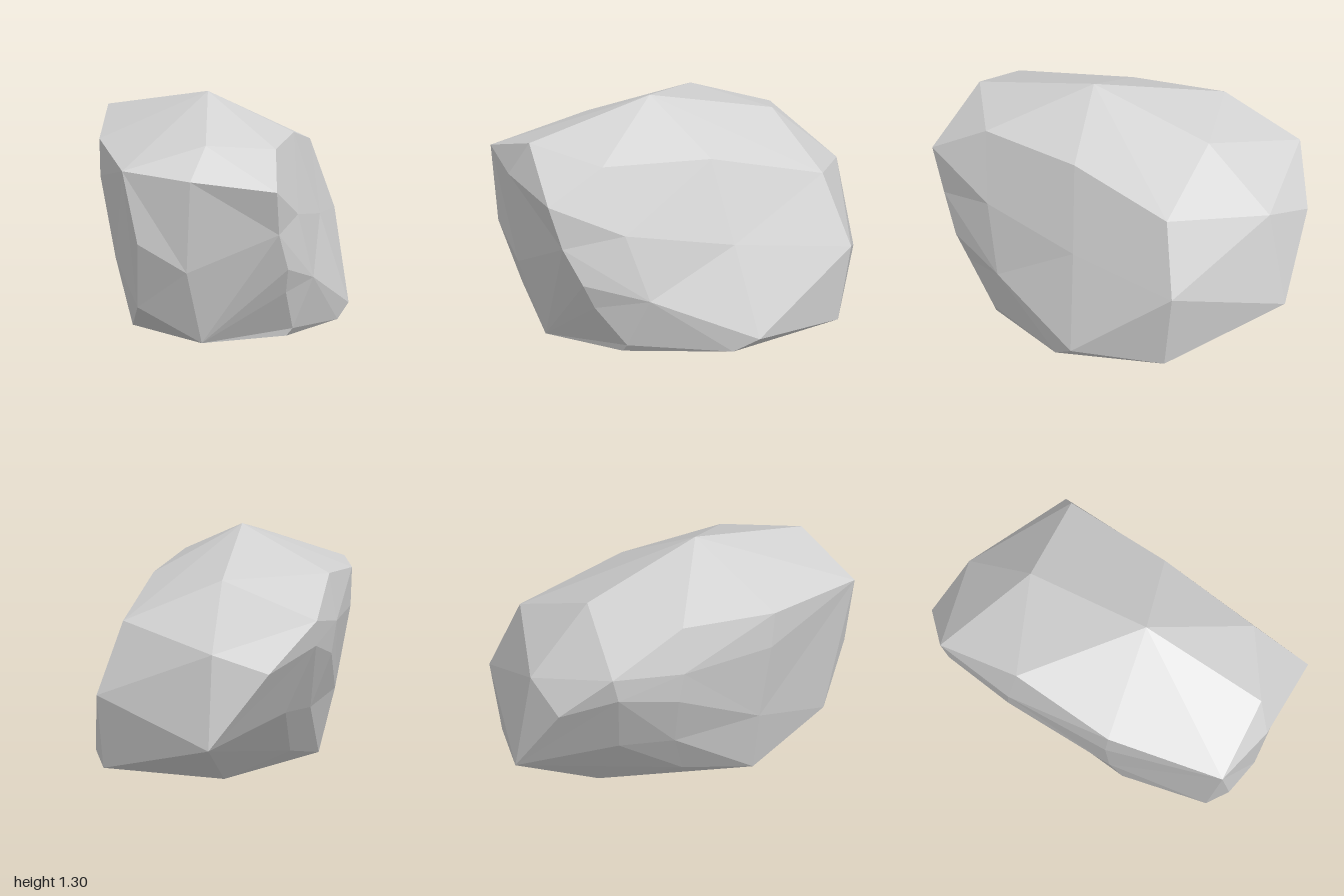
import * as THREE from 'three';
import { ConvexGeometry } from 'three/addons/geometries/ConvexGeometry.js';

// Corner points of the boulder by region: [x, y, z, dent].
// A dent above 1 marks a corner that sits in a shallow hollow.
const crown = [
  [0.12, 1.30, 0.13], [0.59, 1.12, 0.69], [-0.63, 1.14, 0.10], [-0.35, 1.13, -0.44],
  [-0.27, 1.05, 0.59], [0.71, 1.055, 0.24], [0.38, 1.045, -0.29], [0.03, 0.90, -0.83],
];
const frontFace = [
  [0.25, 0.98, 1.0], [0.58, 0.93, 0.81], [0.31, 0.57, 0.94], [0.52, 0.41, 0.77, 1.08],
  [0.215, 0.195, 0.83], [-0.28, 0.84, 0.57], [-0.23, 0.38, 0.50, 1.08],
];
const leftFace = [
  [0.935, 0.87, 0.49], [0.89, 0.62, 0.42, 1.15], [0.86, 0.41, 0.31, 1.15],
  [0.80, 0.27, 0.26, 1.15], [0.75, 0.68, 0.10, 1.13], [0.74, 0.31, -0.04, 1.15],
  [0.44, 0.58, -0.44, 1.12], [0.51, 0.07, -0.60],
];
const rightFace = [
  [-0.94, 0.97, -0.27], [-0.90, 0.82, -0.24, 1.05], [-0.68, 0.88, 0.11, 1.05],
  [-0.67, 0.70, 0.08, 1.06], [-0.53, 0.38, 0.05, 1.12], [-0.66, 0.41, -0.25, 1.08],
  [-0.33, 0.10, 0.08, 1.05],
];
const backFace = [
  [-0.88, 0.70, -0.57], [-0.60, 0.79, -0.74], [-0.66, 0.27, -0.82],
  [0.06, 0.50, -1.0], [0.08, 0.08, -0.93],
];
const base = [
  [0.50, 0, 0.62], [0.69, 0, 0.13], [0.71, 0.04, 0.10, 1.06], [0.55, 0, -0.46],
  [-0.30, 0, -0.38], [-0.14, 0.01, 0.46],
];

// Wrap a skin round the corners with the hollows puffed out, then sink them back
function dentedHull(corners) {
  const puffed = corners.map(([x, y, z, dent = 1]) => new THREE.Vector3(x * dent, y, z * dent));
  const geometry = new ConvexGeometry(puffed);
  const position = geometry.attributes.position;
  const v = new THREE.Vector3();
  for (let i = 0; i < position.count; i++) {
    v.fromBufferAttribute(position, i);
    const k = puffed.findIndex((p) => p.distanceTo(v) < 1e-4);
    position.setXYZ(i, corners[k][0], corners[k][1], corners[k][2]);
  }
  geometry.computeVertexNormals();
  return geometry;
}

export function createModel() {
  const group = new THREE.Group();
  group.name = 'rock';

  const stone = new THREE.MeshStandardMaterial({ color: 0xd3d3d3 });
  stone.name = 'pale grey stone';

  // Faceted boulder
  const corners = [crown, frontFace, leftFace, rightFace, backFace, base].flat();
  const boulder = new THREE.Mesh(dentedHull(corners), stone);
  boulder.name = 'boulder';
  group.add(boulder);

  return group;
}
